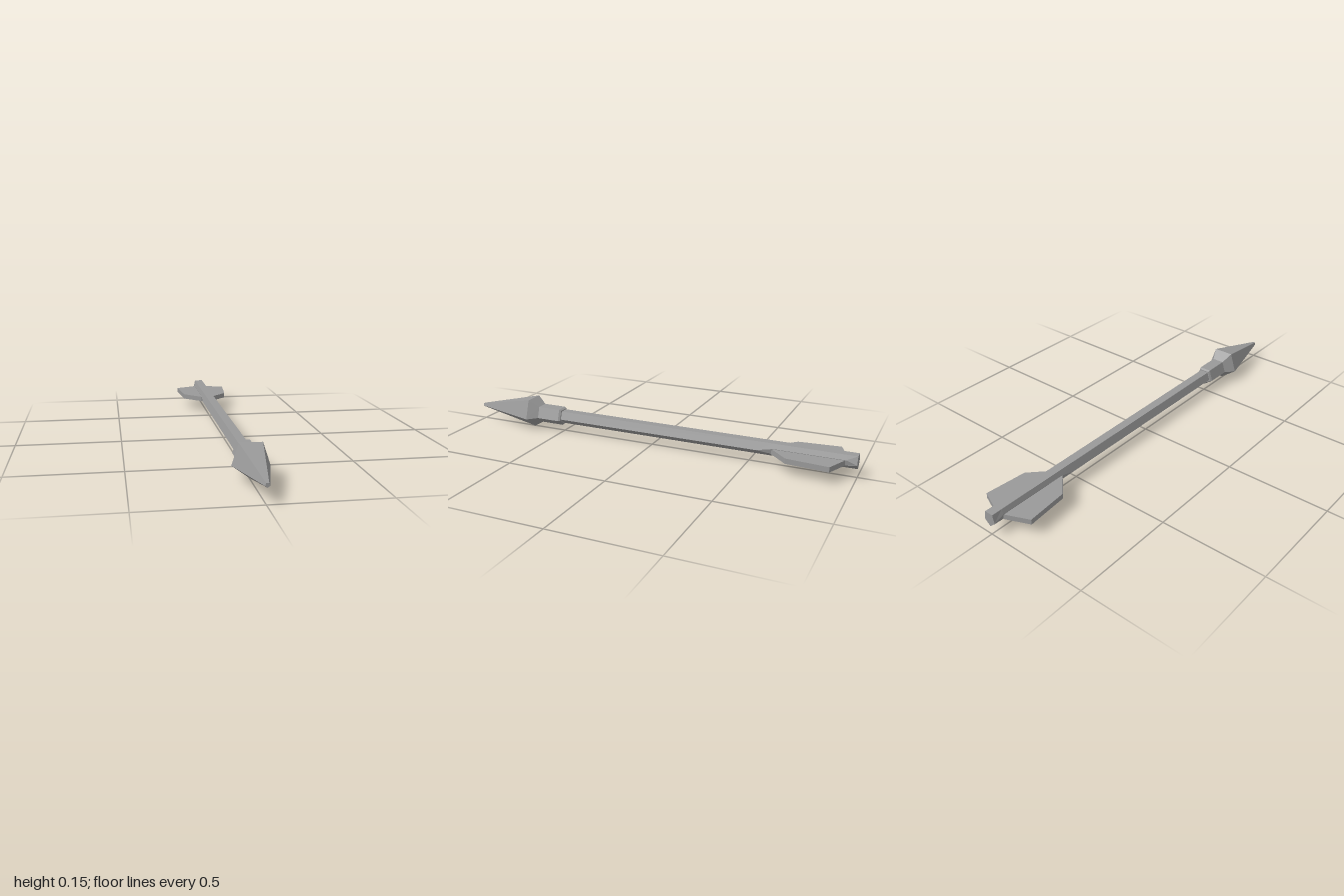
import * as THREE from 'three';

const material = new THREE.MeshStandardMaterial({ color: 0x999999, flatShading: true });
const axisX = 0.004;

// Joins rings of [x, y, z] points (counter-clockwise from the front, ordered front to back) and caps both ends
function loft(rings) {
  const out = [];
  const n = rings[0].length;
  const tri = (a, b, c) => out.push(...a, ...b, ...c);
  for (let i = 0; i < rings.length - 1; i++) {
    for (let j = 0; j < n; j++) {
      const k = (j + 1) % n;
      const [front, back] = [rings[i], rings[i + 1]];
      tri(back[j], back[k], front[j]);
      tri(back[k], front[k], front[j]);
    }
  }
  const first = rings[0], last = rings[rings.length - 1];
  for (let j = 1; j < n - 1; j++) {
    tri(first[0], first[j], first[j + 1]);
    tri(last[0], last[j + 1], last[j]);
  }
  const geometry = new THREE.BufferGeometry();
  geometry.setAttribute('position', new THREE.Float32BufferAttribute(out, 3));
  geometry.computeVertexNormals();
  return geometry;
}

// Regular pentagon with one corner pointing down
function pentagon(z, r, cy) {
  return Array.from({ length: 5 }, (_, i) => {
    const a = -Math.PI / 2 + (i * Math.PI * 2) / 5;
    return [axisX + r * Math.cos(a), cy + r * Math.sin(a), z];
  });
}

// Shaft section: a pentagon whose side corners can be cut flat for the fins
function shaftRing(z, lower, upper) {
  return [
    [0, 0.041], lower, upper, [0.021, 0.109],
    [-0.021, 0.109], [-upper[0], upper[1]], [-lower[0], lower[1]],
  ].map(([x, y]) => [x + axisX - 0.001, y, z]);
}

export function createModel() {
  const model = new THREE.Group();
  const add = (name, geometry) => {
    const mesh = new THREE.Mesh(geometry, material);
    mesh.name = name;
    model.add(mesh);
    return mesh;
  };

  // Shaft, with flattened sides where the fins sit
  const corner = [0.034, 0.069], low = [0.023, 0.058], high = [0.029, 0.085];
  add('shaft', loft([
    shaftRing(0.52, corner, corner),
    shaftRing(-0.54, corner, corner),
    shaftRing(-0.62, low, high),
    shaftRing(-0.95, low, high),
    shaftRing(-1, [0.03, 0.067], [0.03, 0.069]),
  ]));

  // Pointed head with flared shoulder and collar
  add('head', loft([
    pentagon(1, 0.01, 0.076),
    pentagon(0.68, 0.085, 0.085),
    pentagon(0.63, 0.05, 0.079),
    pentagon(0.51, 0.05, 0.079),
    pentagon(0.5, 0.043, 0.079),
  ]));

  // Pair of flat tail fins
  for (const [name, side] of [['leftFin', 1], ['rightFin', -1]]) {
    const outline = [[0, 0.61], [0.028, 0.61], [0.117, 0.7], [0.136, 0.9], [0.02, 0.95], [0, 0.95]];
    const shape = new THREE.Shape(outline.map(([x, y]) => new THREE.Vector2(side * x, y)));
    const fin = new THREE.ExtrudeGeometry(shape, { depth: 0.025, bevelEnabled: false });
    fin.rotateX(-Math.PI / 2);
    add(name, fin).position.y = 0.058;
  }
  return model;
}
